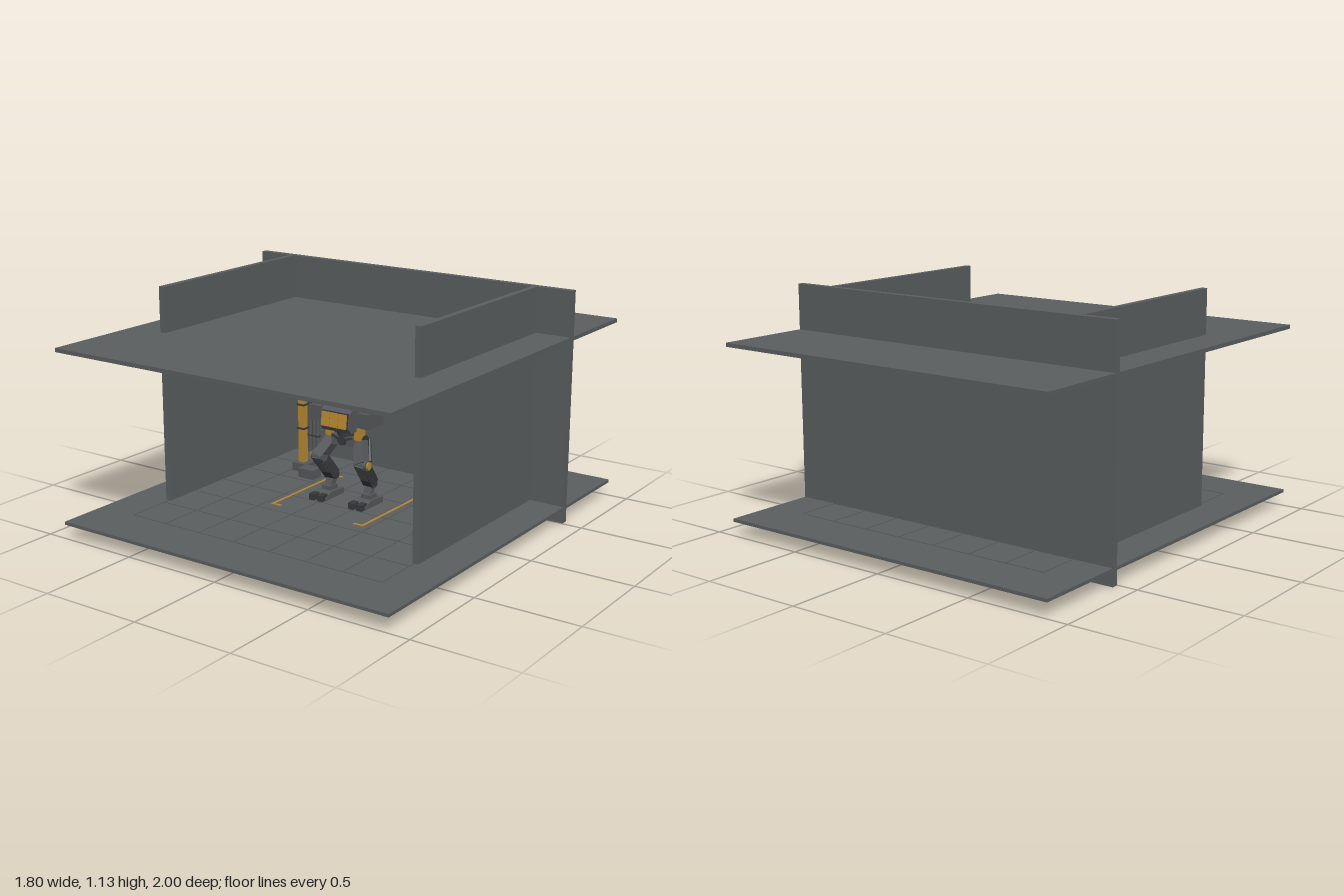
import * as THREE from 'three';

const mat = (name, color, extra = {}) => Object.assign(new THREE.MeshStandardMaterial({ color, ...extra }), { name });

export function createModel() {
  const concrete = mat('concreteGrey', 0x5a5e5f);
  const steel = mat('steelGrey', 0x55575a);
  const dark = mat('darkMetal', 0x36383b);
  const yellow = mat('safetyYellow', 0xb5882f);
  const root = new THREE.Group();
  root.name = 'mechHangar';

  const group = (name, parent = root) => {
    const g = new THREE.Group();
    g.name = name;
    parent.add(g);
    return g;
  };
  const add = (parent, name, geo, m, x, y, z) => {
    const mesh = new THREE.Mesh(geo, m);
    mesh.name = name;
    mesh.position.set(x, y, z);
    parent.add(mesh);
    return mesh;
  };
  // Box given by its centre and size
  const box = (p, name, m, x, y, z, w, h, d) => add(p, name, new THREE.BoxGeometry(w, h, d), m, x, y, z);
  // Box given by its limits on each axis
  const span = (p, name, m, x0, x1, y0, y1, z0, z1) =>
    box(p, name, m, (x0 + x1) / 2, (y0 + y1) / 2, (z0 + z1) / 2, x1 - x0, y1 - y0, z1 - z0);
  const cyl = (p, name, m, x, y, z, r, h, axis = 'y', r2 = r, sides = 12) => {
    const mesh = add(p, name, new THREE.CylinderGeometry(r2, r, h, sides), m, x, y, z);
    if (axis === 'x') mesh.rotation.z = Math.PI / 2;
    if (axis === 'z') mesh.rotation.x = Math.PI / 2;
    return mesh;
  };
  // Limb between two points, boxy or round
  const limb = (p, name, m, a, b, w, d, round = false) => {
    const A = new THREE.Vector3(...a), B = new THREE.Vector3(...b);
    const dir = B.clone().sub(A), len = dir.length();
    const geo = round ? new THREE.CylinderGeometry(w / 2, d / 2, len, 10) : new THREE.BoxGeometry(w, len, d);
    const mid = A.add(B).multiplyScalar(0.5);
    const mesh = add(p, name, geo, m, mid.x, mid.y, mid.z);
    mesh.quaternion.setFromUnitVectors(new THREE.Vector3(0, 1, 0), dir.normalize());
    return mesh;
  };
  // Side profile (z, y) extruded across x
  const profile = (p, name, m, pts, width, x) => {
    const shape = new THREE.Shape(pts.map(([z, y]) => new THREE.Vector2(-z, y)));
    const geo = new THREE.ExtrudeGeometry(shape, { depth: width, bevelEnabled: false });
    geo.translate(0, 0, -width / 2).rotateY(Math.PI / 2);
    return add(p, name, geo, m, x, 0, 0);
  };

  // Building shell
  const shell = group('hangarShell');
  span(shell, 'floor', concrete, -0.9, 0.9, 0.068, 0.083, -1, 1);
  span(shell, 'ceiling', concrete, -0.9, 0.9, 0.892, 0.911, -1, 1);
  span(shell, 'backWall', concrete, -0.9, 0.9, 0, 1.13, -0.535, -0.503);
  for (const s of [-1, 1]) box(shell, 'sideWall', concrete, s * 0.705, 0.565, 0, 0.03, 1.13, 1);

  // Floor joints and bay markings
  const marks = group('floorMarkings');
  for (let i = 0; i < 8; i++) {
    box(marks, 'floorJointLong', steel, -0.7 + i * 0.2, 0.0835, 0, 0.004, 0.002, 1.5);
    box(marks, 'floorJointCross', steel, 0, 0.0835, -0.75 + i * 1.5 / 7, 1.4, 0.002, 0.004);
  }
  for (const s of [-1, 1]) {
    box(marks, 'bayLine', yellow, s * 0.26, 0.085, 0, 0.012, 0.003, 0.52);
    for (const e of [-1, 1]) box(marks, 'bayCorner', yellow, s * 0.235, 0.085, e * 0.254, 0.05, 0.003, 0.012);
  }

  // Gantry behind the machine
  const gantry = group('gantry');
  const gz = -0.25;
  for (const s of [-1, 1]) {
    span(gantry, 'post', yellow, s * 0.455 - 0.017, s * 0.455 + 0.017, 0.12, 0.7, gz - 0.017, gz + 0.017);
    box(gantry, 'postFoot', steel, s * 0.45, 0.104, gz, 0.085, 0.042, 0.085);
    box(gantry, 'postCap', dark, s * 0.455, 0.665, gz, 0.058, 0.012, 0.058);
    for (const y of [0.305, 0.43, 0.55]) box(gantry, 'postClamp', dark, s * 0.455, y, gz, 0.046, 0.008, 0.046);
    box(gantry, 'crate', steel, s * 0.355, 0.107, -0.17, 0.092, 0.047, 0.07);
  }
  box(gantry, 'beam', yellow, 0, 0.726, gz, 0.955, 0.054, 0.05);
  box(gantry, 'beamRail', dark, 0, 0.759, gz, 0.97, 0.01, 0.07);
  for (let i = 0; i < 5; i++) {
    const x = -0.43 + i * 0.208;
    limb(gantry, 'beamBrace', dark, [x - 0.058, 0.66, gz], [x + 0.058, 0.699, gz], 0.006, 0.006);
  }
  box(gantry, 'hoistTrolley', dark, 0.163, 0.69, gz, 0.125, 0.016, 0.05);
  cyl(gantry, 'hoistCable', dark, 0.187, 0.62, gz, 0.004, 0.13);
  cyl(gantry, 'hoistCable', dark, 0.137, 0.655, gz, 0.004, 0.06);
  add(gantry, 'hoistHook', new THREE.TorusGeometry(0.014, 0.004, 6, 14, Math.PI * 1.5), yellow, 0.177, 0.55, gz);

  // Pipes along the back wall
  const pipes = group('wallPipes');
  for (const x of [-0.575, -0.551, -0.527, 0.541]) {
    cyl(pipes, 'pipe', steel, x, 0.433, -0.475, 0.01, 0.635);
    for (const y of [0.19, 0.37, 0.55]) cyl(pipes, 'pipeCollar', dark, x, y, -0.475, 0.015, 0.007);
  }

  // Walking machine: legs
  const mech = group('walkingMachine');
  for (const s of [-1, 1]) {
    const leg = group(s > 0 ? 'leftLeg' : 'rightLeg', mech);
    const hip = [s * 0.075, 0.395, 0], knee = [s * 0.125, 0.3, 0.06], ankle = [s * 0.112, 0.185, -0.03];
    profile(leg, 'foot', steel, [[-0.07, 0.084], [0.085, 0.084], [0.085, 0.1], [0.03, 0.118], [-0.07, 0.112]], 0.085, s * 0.115);
    for (const t of [-1, 1]) box(leg, 'toe', dark, s * 0.115 + t * 0.024, 0.1, 0.085, 0.032, 0.03, 0.045);
    box(leg, 'instep', steel, s * 0.115, 0.125, -0.01, 0.05, 0.024, 0.06);
    limb(leg, 'ankleStrut', steel, [s * 0.115, 0.12, -0.005], ankle, 0.038, 0.036);
    cyl(leg, 'ankleJoint', dark, ...ankle, 0.019, 0.056, 'x');
    limb(leg, 'shin', dark, ankle, knee, 0.055, 0.055);
    limb(leg, 'shinArmour', steel, [s * 0.115, 0.215, 0.02], [s * 0.124, 0.3, 0.082], 0.046, 0.02);
    cyl(leg, 'kneeJoint', steel, ...knee, 0.025, 0.066, 'x');
    cyl(leg, 'kneeCap', yellow, s * 0.132, 0.3, 0.06, 0.019, 0.068, 'x');
    limb(leg, 'thigh', steel, knee, hip, 0.052, 0.06);
    limb(leg, 'thighPiston', dark, [s * 0.142, 0.31, 0.02], [s * 0.105, 0.4, -0.03], 0.014, 0.02, true);
    cyl(leg, 'hipJoint', dark, ...hip, 0.031, 0.05, 'x');
    box(leg, 'hipGuard', yellow, s * 0.082, 0.437, 0.02, 0.032, 0.06, 0.05);
  }

  // Hips and waist
  const body = group('body', mech);
  box(body, 'pelvis', steel, 0, 0.393, 0, 0.13, 0.05, 0.09);
  cyl(body, 'pelvisHub', dark, 0, 0.395, 0.045, 0.024, 0.02, 'z', 0.024, 8);
  for (const s of [-1, 1]) limb(body, 'pelvisStrut', dark, [0, 0.395, 0.05], [s * 0.06, 0.415, 0.046], 0.01, 0.01);
  cyl(body, 'waist', dark, 0, 0.433, 0, 0.052, 0.036);

  // Torso with glazed cab front
  profile(body, 'torso', steel,
    [[-0.1, 0.46], [0.09, 0.45], [0.11, 0.475], [0.1, 0.55], [0.06, 0.578], [-0.1, 0.578]], 0.165, 0);
  profile(body, 'roofHatch', dark, [[-0.08, 0.575], [0.06, 0.575], [0.03, 0.595], [-0.08, 0.595]], 0.14, 0);
  box(body, 'cabFrame', dark, 0, 0.511, 0.106, 0.15, 0.078, 0.012).rotation.x = -0.13;
  for (let i = -1; i <= 1; i++)
    box(body, 'cabPanel', yellow, i * 0.049, 0.511, 0.113, 0.046, 0.07, 0.006).rotation.x = -0.13;
  box(body, 'backPack', dark, 0, 0.52, -0.115, 0.12, 0.09, 0.04);
  cyl(body, 'beacon', yellow, 0.045, 0.61, -0.02, 0.008, 0.035);

  // Arms and launcher pods
  for (const s of [-1, 1]) {
    const arm = group(s > 0 ? 'leftArm' : 'rightArm', mech);
    cyl(arm, 'shoulderAxle', dark, s * 0.1, 0.52, 0, 0.024, 0.06, 'x');
    box(arm, 'armBlock', steel, s * 0.137, 0.517, 0.01, 0.062, 0.072, 0.13);
    box(arm, 'podMount', dark, s * 0.135, 0.556, 0, 0.04, 0.016, 0.06);
    box(arm, 'launcherPod', steel, s * 0.138, 0.587, 0.01, 0.082, 0.054, 0.12);
    box(arm, 'podLid', yellow, s * 0.138, 0.619, 0.01, 0.086, 0.01, 0.124);
    for (let c = 0; c < 4; c++)
      for (const y of [0.574, 0.597])
        cyl(arm, 'launchTube', dark, s * 0.138 + (c - 1.5) * 0.019, y, 0.072, 0.007, 0.008, 'z', 0.007, 8);
  }
  return root;
}
